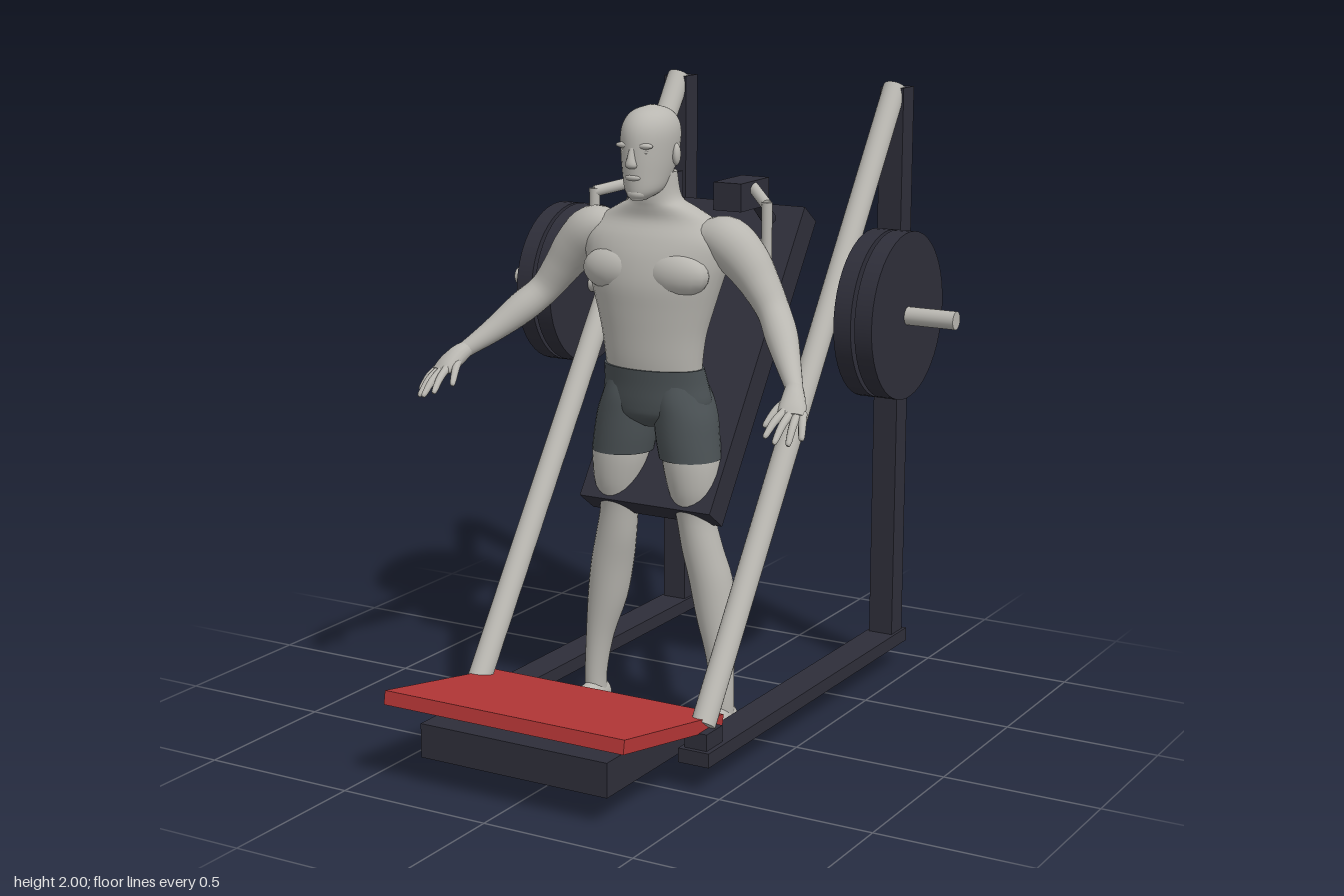
import * as THREE from 'three';

const V = (x, y, z) => new THREE.Vector3(x, y, z);
const makeMaterial = (name, color) => {
  const m = new THREE.MeshStandardMaterial({ color });
  m.name = name;
  return m;
};

// Smooth closed loft through rows of [x, y, z, half width, half depth]
function loft(rows, { axis = null, ref = V(0, 0, 1), n = 24, steps = 4 } = {}) {
  const path = new THREE.CatmullRomCurve3(rows.map(r => V(r[0], r[1], r[2])), false, 'catmullrom');
  const size = new THREE.CatmullRomCurve3(rows.map(r => V(r[3], r[4], 0)), false, 'catmullrom');
  const count = (rows.length - 1) * steps;
  const pos = [], idx = [];
  for (let i = 0; i <= count; i++) {
    const c = path.getPoint(i / count), s = size.getPoint(i / count);
    const t = axis || path.getTangent(i / count);
    const side = t.clone().cross(ref).normalize();
    const front = side.clone().cross(t).normalize();
    for (let j = 0; j < n; j++) {
      const a = j / n * Math.PI * 2;
      const p = c.clone().addScaledVector(side, Math.cos(a) * Math.max(s.x, 0.002))
        .addScaledVector(front, Math.sin(a) * Math.max(s.y, 0.002));
      pos.push(p.x, p.y, p.z);
      if (i < count) {
        const k = i * n + j, k1 = i * n + (j + 1) % n;
        idx.push(k, k + n, k1, k1, k + n, k1 + n);
      }
    }
  }
  // End caps with their own rim so the cut edge stays sharp
  for (const [ring, flip] of [[0, false], [count, true]]) {
    const base = pos.length / 3;
    const c = path.getPoint(ring / count);
    pos.push(c.x, c.y, c.z);
    for (let j = 0; j < n; j++) pos.push(...pos.slice((ring * n + j) * 3, (ring * n + j) * 3 + 3));
    for (let j = 0; j < n; j++) {
      const a = base + 1 + j, b = base + 1 + (j + 1) % n;
      idx.push(base, flip ? b : a, flip ? a : b);
    }
  }
  const g = new THREE.BufferGeometry();
  g.setAttribute('position', new THREE.Float32BufferAttribute(pos, 3));
  g.setIndex(idx);
  g.computeVertexNormals();
  return g;
}

export function createModel() {
  const dark = makeMaterial('darkFrame', 0x2e2e39);
  const pale = makeMaterial('paleGrey', 0xb9b7b1);
  const red = makeMaterial('redPlate', 0xb43636);
  const cloth = makeMaterial('shortsGrey', 0x4b5255);

  const model = new THREE.Group();
  const machine = new THREE.Group();
  const man = new THREE.Group();
  machine.name = 'machine';
  man.name = 'man';
  model.add(machine, man);

  const add = (parent, name, geo, mat) => {
    const m = new THREE.Mesh(geo, mat);
    m.name = name;
    parent.add(m);
    return m;
  };
  // Box given by its limits on each axis
  const box = (name, mat, [x0, x1], [y0, y1], [z0, z1]) => {
    const m = add(machine, name, new THREE.BoxGeometry(Math.abs(x1 - x0), y1 - y0, z1 - z0), mat);
    m.position.set((x0 + x1) / 2, (y0 + y1) / 2, (z0 + z1) / 2);
    return m;
  };
  const rod = (name, a, b, r, mat, sides = 24) => {
    const d = b.clone().sub(a);
    const m = add(machine, name, new THREE.CylinderGeometry(r, r, d.length(), sides), mat);
    m.position.copy(a).add(b).multiplyScalar(0.5);
    m.quaternion.setFromUnitVectors(V(0, 1, 0), d.normalize());
    return m;
  };
  const ball = (name, x, y, z, rx, ry, rz, mat = pale) => {
    const m = add(man, name, new THREE.SphereGeometry(1, 16, 12), mat);
    m.position.set(x, y, z);
    m.scale.set(rx, ry, rz);
    return m;
  };

  // Foot platform and its base
  box('platformBase', dark, [-0.325, 0.325], [0.09, 0.197], [0.4, 0.85]);
  const platform = add(machine, 'footPlatform', new THREE.BoxGeometry(0.83, 0.043, 0.59), red);
  platform.position.set(0, 0.227, 0.615);
  platform.rotation.x = -0.18;

  // Sloping back pad
  const pad = add(machine, 'backPad', new THREE.BoxGeometry(0.47, 1.074, 0.1), dark);
  pad.position.set(0, 1.147, -0.262);
  pad.rotation.x = -0.618;

  for (const s of [1, -1]) {
    // Frame
    box('baseRail', dark, [s * 0.352, s * 0.456], [0.085, 0.13], [-0.907, 0.487]);
    box('upright', dark, [s * 0.362, s * 0.446], [0.13, 1.98], [-0.89, -0.81]);
    box('railFoot', dark, [s * 0.365, s * 0.441], [0.13, 0.182], [0.375, 0.472]);
    rod('guideTube', V(s * 0.403, 0.192, 0.427), V(s * 0.403, 1.979, -0.835), 0.038, pale);
    // Weights
    rod('axle', V(s * 0.43, 1.312, -0.447), V(s * 0.808, 1.312, -0.447), 0.029, pale, 20);
    for (const x of [0.515, 0.586])
      rod('weightDisc', V(s * x, 1.312, -0.447), V(s * (x + 0.058), 1.312, -0.447), 0.265, dark, 48);
    // Shoulder pad, its bracket and the bent handle
    box('shoulderPad', dark, [s * 0.106, s * 0.204], [1.642, 1.73], [-0.342, -0.158]);
    const bracket = rod('padBracket', V(s * 0.154, 1.69, -0.31), V(s * 0.154, 1.58, -0.44), 0.025, dark);
    bracket.scale.z = 0.9;
    rod('handleArm', V(s * 0.18, 1.712, -0.27), V(s * 0.309, 1.675, -0.13), 0.018, pale, 14);
    rod('handleGrip', V(s * 0.309, 1.685, -0.13), V(s * 0.309, 1.44, -0.13), 0.017, pale, 14);
  }

  // Torso, head and shorts
  const up = V(0, 1, 0);
  const body = (name, rows, mat, n = 32) => add(man, name, loft(rows, { axis: up, n }), mat);
  body('torso', [
    [0, 1.13, 0.02, 0.16, 0.095], [0, 1.2, 0.025, 0.166, 0.1], [0, 1.28, 0.025, 0.178, 0.105],
    [0, 1.36, 0.02, 0.2, 0.115], [0, 1.44, 0.015, 0.225, 0.123], [0, 1.52, 0.008, 0.25, 0.115],
    [0, 1.58, 0, 0.255, 0.1], [0, 1.63, -0.01, 0.2, 0.083], [0, 1.67, 0, 0.13, 0.075],
    [0, 1.7, 0.01, 0.082, 0.07], [0, 1.78, 0.02, 0.07, 0.065]], pale);
  body('head', [
    [0, 1.702, 0.115, 0.022, 0.03], [0, 1.73, 0.082, 0.055, 0.073], [0, 1.78, 0.06, 0.07, 0.099],
    [0, 1.84, 0.048, 0.08, 0.113], [0, 1.9, 0.043, 0.084, 0.115], [0, 1.94, 0.041, 0.074, 0.1],
    [0, 1.967, 0.04, 0.05, 0.068], [0, 1.982, 0.04, 0.008, 0.012]], pale);
  body('shortsHips', [
    [0, 0.985, 0.005, 0.04, 0.06], [0, 1.02, 0.002, 0.15, 0.105], [0, 1.06, 0.002, 0.184, 0.115],
    [0, 1.12, 0.01, 0.176, 0.112], [0, 1.175, 0.025, 0.17, 0.104]], cloth);

  // Face
  add(man, 'nose', loft([[0, 1.865, 0.152, 0.009, 0.008], [0, 1.835, 0.16, 0.012, 0.014],
    [0, 1.81, 0.162, 0.019, 0.017], [0, 1.8, 0.155, 0.012, 0.01]], { axis: up.clone().negate(), n: 12 }), pale);
  ball('lips', 0, 1.772, 0.149, 0.027, 0.011, 0.014);
  ball('chin', 0, 1.722, 0.13, 0.032, 0.02, 0.026);

  for (const s of [1, -1]) {
    const flip = rows => rows.map(([x, ...r]) => [s * x, ...r]);
    const limb = (name, rows, opts, mat = pale) => add(man, name, loft(flip(rows), opts), mat);
    ball('ear', s * 0.083, 1.835, 0.032, 0.013, 0.034, 0.02).rotation.y = s * 0.3;
    ball('brow', s * 0.032, 1.868, 0.142, 0.032, 0.01, 0.014);
    ball('eye', s * 0.032, 1.85, 0.139, 0.015, 0.008, 0.01);
    ball('chestMuscle', s * 0.105, 1.475, 0.075, 0.115, 0.072, 0.06);
    ball('shoulderBlade', s * 0.11, 1.5, -0.06, 0.09, 0.1, 0.052);

    // Arm from shoulder to wrist
    limb('arm', [
      [0.16, 1.59, -0.01, 0.05, 0.06], [0.235, 1.575, -0.01, 0.078, 0.076], [0.3, 1.52, -0.012, 0.074, 0.072],
      [0.355, 1.45, -0.008, 0.06, 0.062], [0.41, 1.375, 0.01, 0.05, 0.052], [0.465, 1.315, 0.065, 0.05, 0.05],
      [0.525, 1.25, 0.135, 0.038, 0.038], [0.577, 1.2, 0.2, 0.027, 0.027], [0.59, 1.185, 0.22, 0.027, 0.025]]);
    // Hand
    limb('palm', [
      [0.578, 1.2, 0.2, 0.024, 0.026], [0.594, 1.18, 0.235, 0.03, 0.034],
      [0.61, 1.152, 0.275, 0.024, 0.042], [0.62, 1.137, 0.3, 0.012, 0.036]], { ref: V(s, 0, -0.3), n: 16 });
    const fingers = [
      [0.643, 1.142, 0.27, 0.672, 1.078, 0.335], [0.631, 1.14, 0.285, 0.648, 1.068, 0.375],
      [0.613, 1.142, 0.295, 0.615, 1.075, 0.4], [0.595, 1.148, 0.295, 0.58, 1.088, 0.392],
      [0.58, 1.17, 0.25, 0.548, 1.105, 0.335]];
    for (const [x, y, z, X, Y, Z] of fingers)
      limb('finger', [
        [x, y, z, 0.013, 0.013], [(x + X) / 2, (y + Y) / 2 + 0.008, (z + Z) / 2, 0.012, 0.012],
        [X * 0.9 + x * 0.1, Y * 0.9 + y * 0.1, Z * 0.9 + z * 0.1, 0.009, 0.009], [X, Y, Z, 0.003, 0.003]],
      { n: 10, ref: V(1, 0, 0) });

    // Leg of the shorts, bare leg and foot
    limb('shortsLeg', [
      [0.122, 0.89, 0.01, 0.098, 0.099], [0.112, 0.95, 0.008, 0.1, 0.104], [0.102, 1.02, 0.003, 0.098, 0.11],
      [0.092, 1.08, 0, 0.086, 0.112], [0.085, 1.14, 0.01, 0.07, 0.09]], { axis: up }, cloth);
    limb('leg', [
      [0.235, 0.04, -0.008, 0.034, 0.044], [0.235, 0.12, -0.002, 0.035, 0.04], [0.222, 0.25, -0.008, 0.045, 0.048],
      [0.2, 0.38, -0.02, 0.064, 0.066], [0.18, 0.5, -0.018, 0.069, 0.071], [0.157, 0.6, -0.005, 0.066, 0.066],
      [0.138, 0.71, 0.005, 0.06, 0.068], [0.135, 0.79, 0.012, 0.078, 0.083], [0.128, 0.87, 0.012, 0.09, 0.093],
      [0.122, 0.94, 0.01, 0.09, 0.094]], { axis: up });
    limb('foot', [
      [0.235, 0.035, -0.062, 0.012, 0.015], [0.235, 0.044, -0.045, 0.033, 0.042], [0.235, 0.05, 0, 0.037, 0.049],
      [0.235, 0.045, 0.06, 0.041, 0.044], [0.235, 0.032, 0.12, 0.049, 0.031], [0.235, 0.02, 0.17, 0.048, 0.019],
      [0.235, 0.017, 0.185, 0.04, 0.012]], { axis: V(0, 0, 1), ref: up });
    for (let i = 0; i < 5; i++)
      ball('toe', s * (0.198 + i * 0.0195), 0.015, 0.196 - i * i * 0.0022, i ? 0.0105 : 0.014, 0.014, 0.024);
  }
  return model;
}
